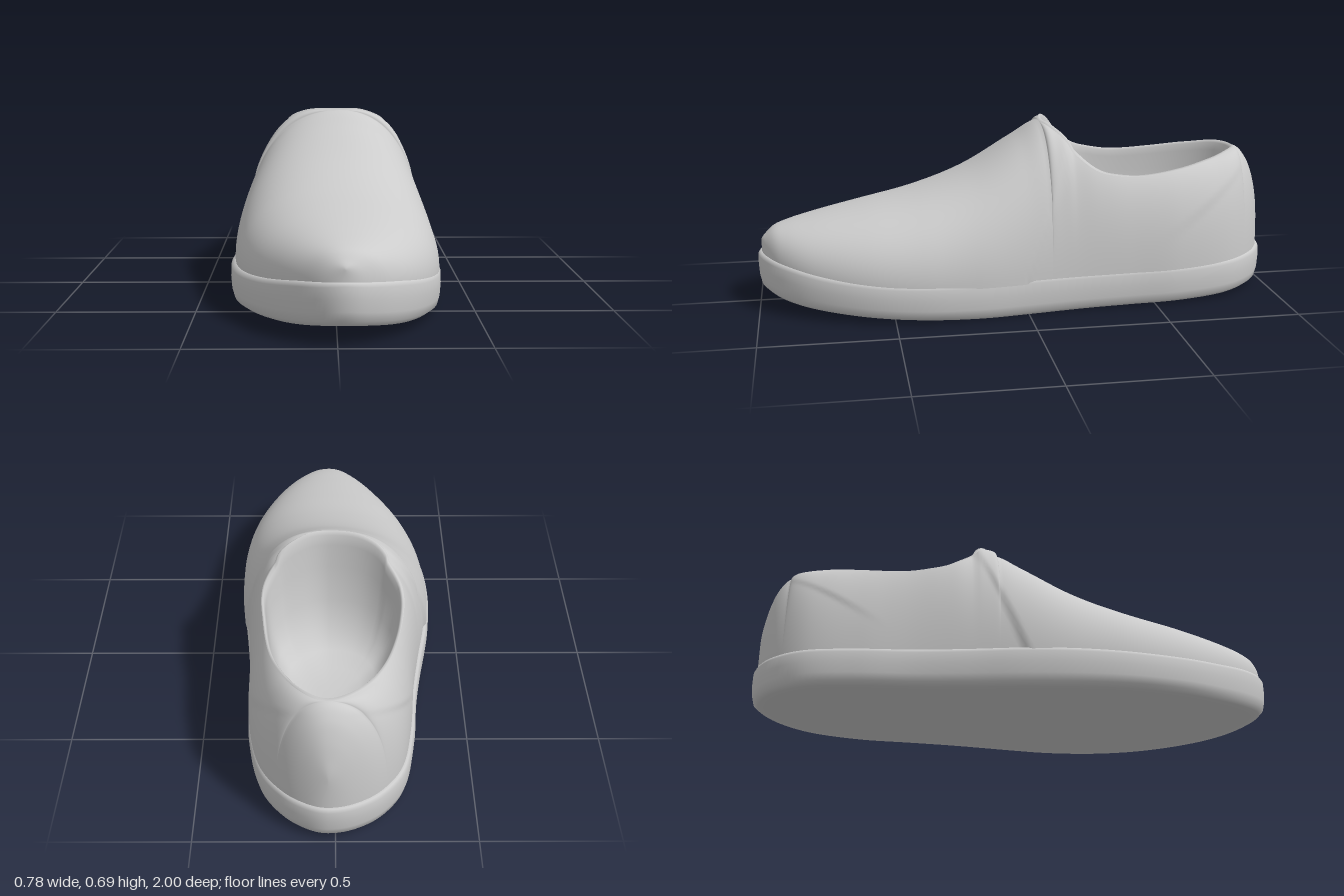
import * as THREE from 'three';
import { mergeVertices } from 'three/addons/utils/BufferGeometryUtils.js';

const { lerp, smoothstep, clamp } = THREE.MathUtils;
const CENTRE = 0.025;               // x of the shoe's long axis
const RIM_FRONT = -0.09, RIM_BACK = -0.895;

// Smooth curve through rows [z, a, b, ...], eased so that both ends are round.
function profile(rows, z0 = -1, z1 = 1) {
  const key = z => Math.acos(clamp((2 * z - z0 - z1) / (z1 - z0), -1, 1));
  const k = rows.map(r => key(r[0])), last = rows.length - 1;
  const slope = (i, c) => {
    const a = Math.max(i - 1, 0), b = Math.min(i + 1, last);
    return (rows[b][c] - rows[a][c]) / (k[b] - k[a]);
  };
  return (z, c = 1) => {
    const p = key(z);
    let i = 0;
    while (i < last - 1 && p > k[i + 1]) i++;
    const h = k[i + 1] - k[i], t = clamp((p - k[i]) / h, 0, 1), u = 1 - t;
    return u * u * (1 + 2 * t) * rows[i][c] + t * t * (3 - 2 * t) * rows[i + 1][c]
      + h * t * u * (u * slope(i, c) - t * slope(i + 1, c));
  };
}

// Footprint: z, right-hand x, left-hand x
const outline = profile([
  [1, 0.025, 0.025], [0.98, 0.1, -0.045], [0.93, 0.175, -0.11], [0.8, 0.275, -0.215],
  [0.6, 0.355, -0.32], [0.4, 0.385, -0.375], [0.2, 0.38, -0.39], [0, 0.355, -0.375],
  [-0.2, 0.335, -0.34], [-0.4, 0.325, -0.31], [-0.6, 0.318, -0.292], [-0.8, 0.27, -0.25],
  [-0.92, 0.185, -0.165], [-0.98, 0.1, -0.07], [-1, 0.025, 0.025],
]);
const soleTop = profile([[1, 0.22], [0.9, 0.2], [0.7, 0.17], [0.45, 0.152], [0, 0.148], [-0.5, 0.148], [-1, 0.16]]);
const soleBottom = profile([[1, 0.08], [0.95, 0.062], [0.85, 0.045], [0.7, 0.03], [0.4, 0.01], [0.1, 0], [-0.3, 0.004], [-0.8, 0.012], [-1, 0.02]]);

// Foot opening: z, right-hand x, left-hand x
const opening = profile([
  [RIM_FRONT, 0.025, 0.025], [-0.12, 0.13, -0.12], [-0.18, 0.22, -0.2], [-0.26, 0.268, -0.25],
  [-0.4, 0.262, -0.245], [-0.6, 0.23, -0.2], [-0.8, 0.145, -0.11], [RIM_BACK, 0.025, 0.025],
], RIM_BACK, RIM_FRONT);

// Crest of the upper: instep ridge, then the rim, then the back of the heel
const crest = profile([
  [1, 0.25], [0.985, 0.275], [0.95, 0.305], [0.9, 0.322], [0.8, 0.345], [0.6, 0.385], [0.4, 0.43],
  [0.2, 0.505], [0, 0.625], [-0.09, 0.678], [-0.13, 0.662], [-0.165, 0.63], [-0.185, 0.595],
  [-0.27, 0.53], [-0.35, 0.507], [-0.45, 0.497], [-0.6, 0.51], [-0.75, 0.533], [-0.895, 0.553],
  [-0.94, 0.51], [-0.97, 0.44], [-0.99, 0.36], [-1, 0.28],
]);

// Skins a list of equally long point rows; column "gap" is left open.
function skin(rows, gap = -1) {
  const n = rows[0].length, index = [];
  for (let i = 0; i < rows.length - 1; i++) {
    for (let j = 0; j < n - 1; j++) {
      if (j === gap) continue;
      const a = i * n + j;
      index.push(a, a + n, a + 1, a + 1, a + n, a + n + 1);
    }
  }
  let geo = new THREE.BufferGeometry();
  geo.setAttribute('position', new THREE.Float32BufferAttribute(rows.flat(2), 3));
  geo.setIndex(index);
  geo = mergeVertices(geo, 1e-4);
  geo.computeVertexNormals();
  return geo;
}

// One side of a cross-section of the upper, from the sole up to the crest or rim
const STEPS = 28;
function halfSection(z, side) {
  const open = z < RIM_FRONT && z > RIM_BACK;
  const xb = CENTRE + (outline(z, side) - CENTRE) * (side === 1 ? 0.985 : 0.955);
  const xo = open ? opening(z, side) : CENTRE;
  const yb = soleTop(z) - 0.02, yo = crest(z), h = yo - yb;
  const wall = smoothstep(Math.abs(xo - CENTRE), 0, 0.25);
  const curve = new THREE.CubicBezierCurve(
    new THREE.Vector2(xb, yb),
    new THREE.Vector2(CENTRE + (xb - CENTRE) * 1.02, yb + 0.55 * h),
    new THREE.Vector2(lerp(xo, xb, lerp(0.68, 0.55, wall)), yo - wall * 0.15 * h),
    new THREE.Vector2(xo, yo));
  return curve.getPoints(STEPS).map(({ x, y }) => {
    // raised edge of the front panel and of the padded collar
    const seam = -0.17 + (0.6 - y) * 0.38;
    const panel = smoothstep(z, seam - 0.015, seam + 0.015) * (1 - smoothstep(z, 0, 0.35));
    const line = 0.5 - 0.67 * (z + 0.9);
    const collar = smoothstep(y, line - 0.015, line + 0.015) * (1 - smoothstep(z, -0.75, -0.5));
    return [CENTRE + (x - CENTRE) * (1 + 0.03 * panel + 0.025 * collar), y, z * 0.985];
  });
}

function upperRows() {
  const zs = [], add = (n, f) => { for (let i = 0; i <= n; i++) zs.push(f(i / n)); };
  const a = Math.acos(RIM_FRONT), b = Math.acos(RIM_BACK);
  add(110, t => Math.cos(t * a));
  add(64, t => lerp(RIM_BACK, RIM_FRONT, 0.5 + 0.5 * Math.cos(t * Math.PI)));
  add(30, t => Math.cos(lerp(b, Math.PI, t)));
  return zs.map(z => [...halfSection(z, 1), ...halfSection(z, 2).reverse()]);
}

// Rings of the sole from its top ledge, down the sidewall, to the underside
function soleRows() {
  const rings = [[0.08, 0.95], [0.02, 1], [0.008, 0.97], [0.001, 0.87], [0, 0.6], [0.003, 0.3],
    [0.01, 0.1], [0.028, 0], [0.06, 0], [0.15, 0], [0.25, 0], [0.35, 0]];
  return rings.map(([inset, f]) => {
    const row = [];
    for (let j = 0; j <= 160; j++) {
      const z0 = Math.cos(j / 80 * Math.PI), z = z0 * (1 - inset);
      const x = CENTRE + (outline(z0, j <= 80 ? 1 : 2) - CENTRE) * (1 - inset / 0.35);
      row.push([x, lerp(soleBottom(z), soleTop(z), f), z]);
    }
    return row;
  });
}

// Bowl inside the shoe: the rim rolls over and falls to the floor
function liningRows(rows) {
  const rim = rows.slice(111, 176);
  const loop = [...rim.map(r => r[STEPS]), ...rim.map(r => r[STEPS + 1]).reverse()];
  const rings = [[0, 1], [0.2, 1], [0.4, 0.985], [0.6, 0.94], [0.76, 0.83], [0.87, 0.6], [0.92, 0.3],
    [0.935, 0.1], [0.95, 0.015], [0.975, -0.015], [1, 0]];
  return rings.map(([s, drop]) => loop.map(([x, y, z]) =>
    [lerp(0.015, x, s), lerp(y, 0.2, drop), lerp(-0.485, z, s)]));
}

export function createModel() {
  const group = new THREE.Group();
  group.name = 'slipOnShoe';
  const material = new THREE.MeshStandardMaterial({ color: 0xcccccc, side: THREE.DoubleSide });
  const add = (name, geometry) => {
    const mesh = new THREE.Mesh(geometry, material);
    mesh.name = name;
    group.add(mesh);
  };
  const upper = upperRows();
  add('upper', skin(upper, STEPS));
  add('lining', skin(liningRows(upper)));
  add('sole', skin(soleRows()));
  return group;
}
